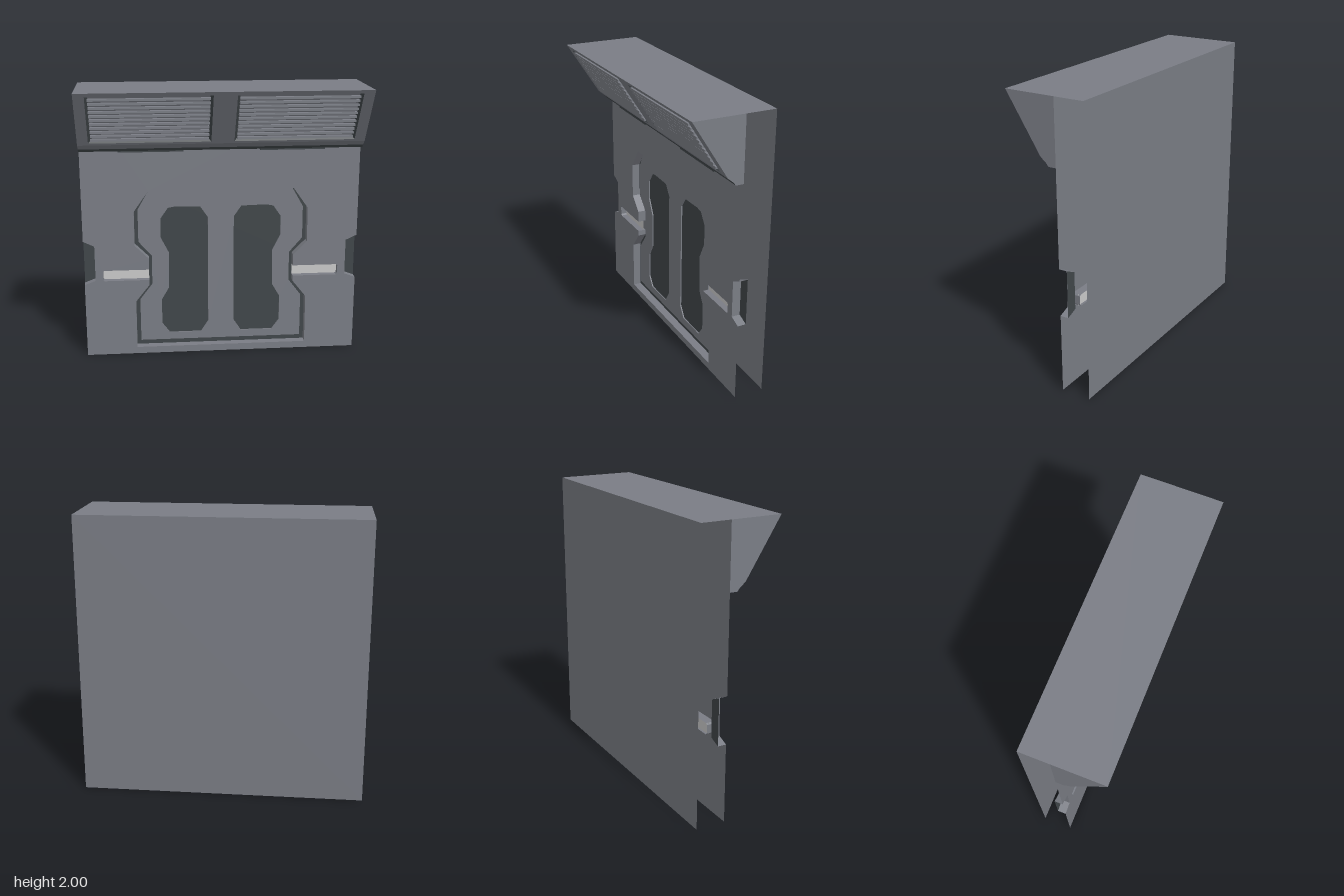
import * as THREE from 'three';

const material = (name, color) => {
  const m = new THREE.MeshStandardMaterial({ color, side: THREE.DoubleSide });
  m.name = name;
  return m;
};

const FRONT = -0.075, FLOOR = -0.135, BACK = -0.285; // z of the main layers

const toShape = (pts) => new THREE.Shape(pts.map(([x, y]) => new THREE.Vector2(x, y)));
const toPath = (pts) => new THREE.Path(pts.map(([x, y]) => new THREE.Vector2(x, y)));
const mirror = (pts) => pts.map(([x, y]) => [-x, y]).reverse();
const symmetric = (half) => [...half, ...mirror(half)];
const rect = (x0, y0, x1, y1) => [[x0, y0], [x1, y0], [x1, y1], [x0, y1]];

// Flat-faced strip of quads between two matching rows of 3D points
function ribbon(a, b) {
  const pos = [];
  for (let i = 0; i < a.length - 1; i++) {
    pos.push(...a[i], ...b[i], ...b[i + 1], ...a[i], ...b[i + 1], ...a[i + 1]);
  }
  const g = new THREE.BufferGeometry();
  g.setAttribute('position', new THREE.Float32BufferAttribute(pos, 3));
  g.computeVertexNormals();
  return g;
}

// Walls running back from a 2D outline
const walls = (pts, z0, z1) =>
  ribbon(pts.map(([x, y]) => [x, y, z0]), pts.map(([x, y]) => [x, y, z1]));

export function createModel() {
  const model = new THREE.Group();
  model.name = 'wallPanel';
  const grey = material('panelGrey', 0x7a7d85);
  const dark = material('darkRecess', 0x41474a);
  const light = material('lightBar', 0xcacaca);

  function add(name, geometry, mat, parent = model, z = 0) {
    const mesh = new THREE.Mesh(geometry, mat);
    mesh.name = name;
    mesh.position.z = z;
    parent.add(mesh);
    return mesh;
  }

  // Outlines: right half from bottom to top, then mirrored
  const lower = [[0.63, 0.05], [0.63, 0.415], [0.53, 0.54]];
  const upper = [[0.53, 0.745], [0.63, 0.845], [0.63, 1.1], [0.525, 1.25]];
  const slot = [[0.53, 0.58], [0.855, 0.58], [0.865, 0.59], [0.865, 0.65], [0.855, 0.66], [0.53, 0.66]];
  const notch = [[1, 0.555], [0.92, 0.585], [0.92, 0.848], [1, 0.885]];
  const opening = symmetric([...lower, ...slot, ...upper]);

  // Front sheet with the central opening and side notches
  const sheet = toShape(symmetric([[1, 0], ...notch, [1, 2]]));
  sheet.holes.push(toPath(opening));
  add('frontSheet', new THREE.ShapeGeometry(sheet), grey, model, FRONT);

  // Back sheet and top cover
  add('backSheet', new THREE.PlaneGeometry(2, 2).translate(0, 1, 0), grey, model, BACK);
  add('topCover', new THREE.PlaneGeometry(2, 0.57).rotateX(-Math.PI / 2).translate(0, 2, 0), grey);

  // Central recess: walls, dark floor and raised plate with two openings
  add('recessWalls', walls([...opening, opening[0]], FRONT, FLOOR), grey);
  add('recessFloor', new THREE.ShapeGeometry(toShape(symmetric([...lower, ...upper]))), dark, model, FLOOR);
  const plate = toShape(symmetric([
    [0.6, 0.085], [0.6, 0.41], [0.508, 0.53], [0.508, 0.75],
    [0.603, 0.86], [0.603, 1.1], [0.52, 1.247],
  ]));
  const window = [
    [0.15, 0.14], [0.385, 0.14], [0.44, 0.215], [0.44, 0.405], [0.385, 0.5], [0.38, 0.765],
    [0.44, 0.885], [0.44, 1.03], [0.385, 1.11], [0.33, 1.12], [0.15, 1.115], [0.095, 1.035], [0.095, 0.225],
  ];
  plate.holes.push(toPath(window), toPath(mirror(window)));
  add('recessPlate', new THREE.ExtrudeGeometry(plate, { depth: 0.009, bevelEnabled: false }), grey, model, FLOOR + 0.001);

  // Side notches and light bars
  for (const s of [1, -1]) {
    const side = s > 0 ? 'left' : 'right';
    const n = notch.map(([x, y]) => [s * x, y]);
    add(side + 'NotchWalls', walls(n, FRONT, FLOOR), grey);
    add(side + 'NotchFloor', new THREE.ShapeGeometry(toShape(n)), dark, model, FLOOR);
    add(side + 'LightBar', new THREE.PlaneGeometry(0.335, 0.08).translate(s * 0.6975, 0.62, 0), light, model, -0.12);
  }

  // Overhanging hood: profile as [z, y]
  const hood = new THREE.Group();
  hood.name = 'hood';
  model.add(hood);
  const profile = [[0.285, 2], [0.037, 1.61], [-0.005, 1.575], [-0.02, 1.555], [FRONT, 1.555]];
  for (const s of [1, -1]) {
    const end = new THREE.ShapeGeometry(toShape([...profile, [FRONT, 2]]));
    end.rotateY(-Math.PI / 2).translate(s, 0, 0);
    add(s > 0 ? 'hoodLeftEnd' : 'hoodRightEnd', end, grey, hood);
  }
  const across = (pts) => ribbon(pts.map(([z, y]) => [-1, y, z]), pts.map(([z, y]) => [1, y, z]));
  add('hoodLip', across(profile.slice(1, 3)), grey, hood);
  add('hoodLipEdge', across(profile.slice(2, 4)), dark, hood);
  add('hoodUnderside', across(profile.slice(3)), grey, hood);

  // Sloping hood face with two vent openings
  const face = new THREE.Group();
  face.name = 'hoodFace';
  face.position.set(0, 1.61, 0.037);
  face.rotation.x = Math.atan2(0.248, 0.39);
  hood.add(face);
  const length = Math.hypot(0.248, 0.39);
  const faceShape = toShape(rect(-1, 0, 1, length));
  const vent = rect(0.08, 0.018, 0.925, 0.432);
  faceShape.holes.push(toPath(vent), toPath(mirror(vent)));
  add('slopePanel', new THREE.ShapeGeometry(faceShape), grey, face);

  for (const s of [1, -1]) {
    const side = s > 0 ? 'left' : 'right';
    const outer = vent.map(([x, y]) => [s * x, y]);
    const inner = rect(0.1, 0.03, 0.905, 0.42).map(([x, y]) => [s * x, y]);
    const loop = (pts, z) => [...pts, pts[0]].map(([x, y]) => [x, y, z]);
    add(side + 'VentBevel', ribbon(loop(outer, 0), loop(inner, -0.025)), dark, face);
    add(side + 'VentFloor', new THREE.ShapeGeometry(toShape(inner)), grey, face, -0.025);

    // Louvre slats stepping down the slope
    for (let i = 0; i < 11; i++) {
      const y = 1.65 + i * 0.0302;
      const z = 0.037 + (y - 1.61) * 0.636 + 0.008;
      const slat = new THREE.BoxGeometry(0.81, 0.015, 0.045).translate(s * 0.5025, y, z - 0.0225);
      add(side + 'VentSlat', slat, grey, hood);
    }

    // Small tab under the hood lip
    add(side + 'HoodTab', new THREE.BoxGeometry(0.46, 0.022, 0.035).translate(s * 0.5, 1.556, -0.038), dark, hood);
  }
  return model;
}
